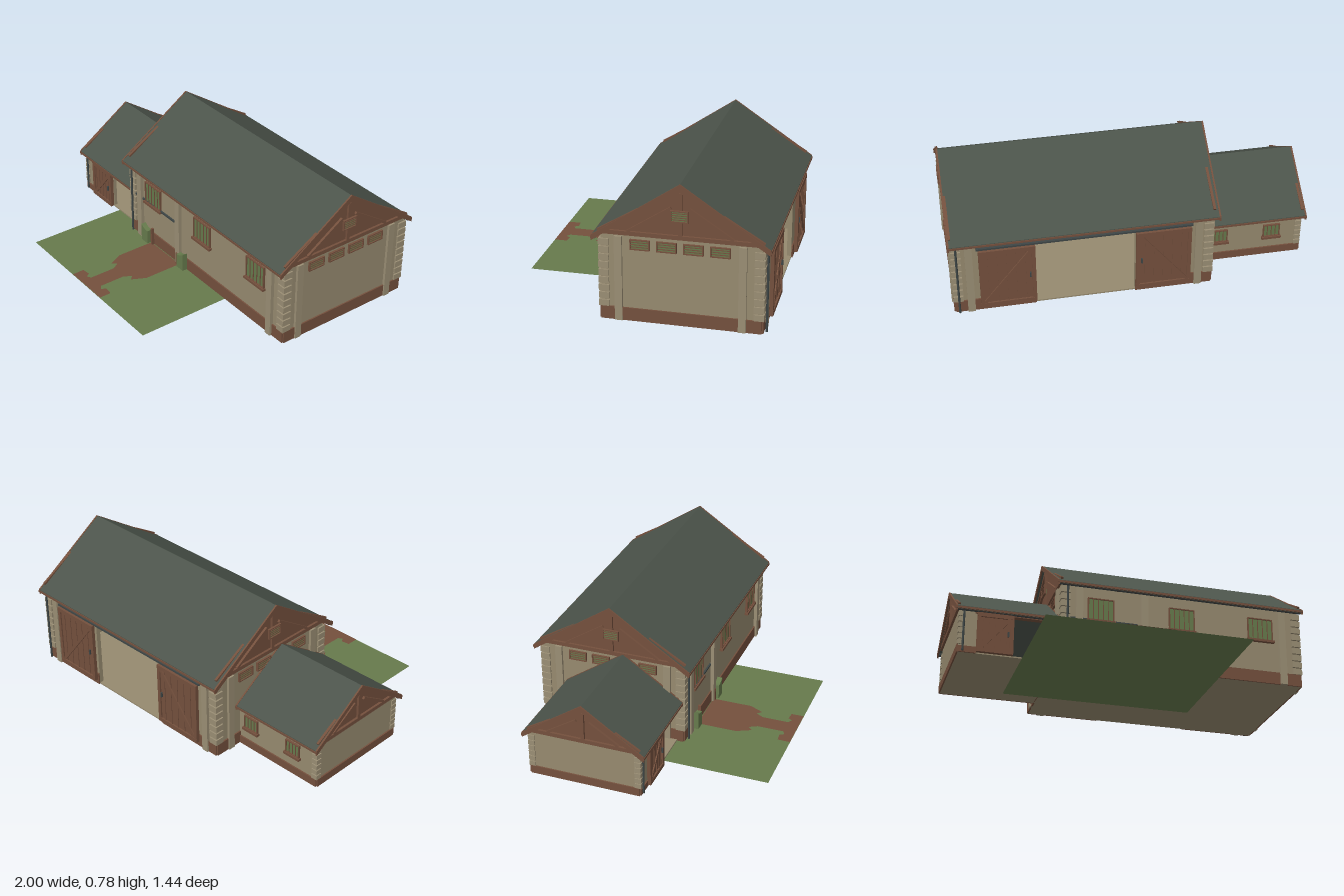
import * as THREE from 'three';

const mat = (name, color, side = THREE.FrontSide) => {
  const m = new THREE.MeshStandardMaterial({ color, side });
  m.name = name;
  return m;
};

export function createModel() {
  const root = new THREE.Group();
  root.name = 'barn';
  const wall = mat('stone wall', 0x968a6f);
  const trim = mat('pale stone trim', 0x9a8e74);
  const wood = mat('brown wood', 0x74503d);
  const earth = mat('earth path', 0x74503d, THREE.DoubleSide);
  const green = mat('green paint', 0x667a4c);
  const grass = mat('grass', 0x667a4c, THREE.DoubleSide);
  const slate = mat('roof slate', 0x4c544b);
  const metal = mat('dark metal', 0x3e4646);

  const group = (name, parent = root) => {
    const g = new THREE.Group();
    g.name = name;
    parent.add(g);
    return g;
  };
  const add = (name, geo, m, parent = root) => {
    const o = new THREE.Mesh(geo, m);
    o.name = name;
    parent.add(o);
    return o;
  };
  // Box from its two limits on each axis
  const box = (name, m, x0, x1, y0, y1, z0, z1, parent) => {
    const o = add(name, new THREE.BoxGeometry(x1 - x0, y1 - y0, z1 - z0), m, parent);
    o.position.set((x0 + x1) / 2, (y0 + y1) / 2, (z0 + z1) / 2);
    return o;
  };
  // Beam in the local xy plane between two points
  const beam = (name, m, x0, y0, x1, y1, w, z, d, parent) => {
    const o = add(name, new THREE.BoxGeometry(Math.hypot(x1 - x0, y1 - y0), w, d), m, parent);
    o.position.set((x0 + x1) / 2, (y0 + y1) / 2, z);
    o.rotation.z = Math.atan2(y1 - y0, x1 - x0);
    return o;
  };
  // Profile given as [z, y] points, extruded along x
  const profile = (name, m, pts, x0, x1, parent) => {
    const s = new THREE.Shape(pts.map(p => new THREE.Vector2(p[0], p[1])));
    const o = add(name, new THREE.ExtrudeGeometry(s, { depth: x1 - x0, bevelEnabled: false }), m, parent);
    o.rotation.y = -Math.PI / 2;
    o.position.x = x1;
    return o;
  };

  // Framed opening facing local +z, with vertical bars or horizontal slats
  const opening = (name, x, y, z, ry, w, h, bars, slats, sill) => {
    const g = group(name);
    g.position.set(x, y, z);
    g.rotation.y = ry;
    box('panel', green, -w / 2, w / 2, -h / 2, h / 2, -0.002, 0.005, g);
    const f = 0.006;
    for (const s of [-1, 1]) {
      box('frameSide', wood, s * w / 2 - f / 2, s * w / 2 + f / 2, -h / 2, h / 2, 0, 0.012, g);
      box('frameRail', wood, -w / 2 - f / 2, w / 2 + f / 2, s * h / 2 - f / 2, s * h / 2 + f / 2, 0, 0.012, g);
    }
    for (let i = 1; i <= bars; i++) {
      const bx = -w / 2 + w * i / (bars + 1);
      box('bar', wood, bx - 0.002, bx + 0.002, -h / 2, h / 2, 0, 0.009, g);
    }
    for (let i = 1; i <= slats; i++) {
      const by = -h / 2 + h * i / (slats + 1);
      box('slat', wood, -w / 2, w / 2, by - 0.002, by + 0.002, 0, 0.009, g);
    }
    if (sill) box('sill', wood, -w / 2 - 0.01, w / 2 + 0.01, -h / 2 - 0.014, -h / 2, 0, 0.02, g);
  };

  // Plank door facing local +z, with rails and a diagonal brace
  const door = (name, x, z, ry, w, y0, y1, flip) => {
    const g = group(name);
    g.position.set(x, 0, z);
    g.rotation.y = ry;
    box('planks', wood, -w / 2, w / 2, y0, y1, 0, 0.012, g);
    for (let i = 1; i < 6; i++) {
      const px = -w / 2 + w * i / 6;
      box('batten', wood, px - 0.003, px + 0.003, y0, y1, 0.01, 0.016, g);
    }
    for (const y of [y0 + 0.012, y1 - 0.012]) box('rail', wood, -w / 2, w / 2, y - 0.012, y + 0.012, 0.01, 0.021, g);
    for (const s of [-1, 1]) box('stile', wood, s * (w / 2 - 0.01) - 0.01, s * (w / 2 - 0.01) + 0.01, y0, y1, 0.01, 0.02, g);
    beam('brace', wood, -flip * (w / 2 - 0.02), y0 + 0.02, flip * (w / 2 - 0.02), y1 - 0.02, 0.018, 0.014, 0.01, g);
    const hx = flip * (w / 2 - 0.03), hy = (y0 + y1) / 2;
    box('handle', metal, hx - 0.004, hx + 0.004, hy - 0.015, hy + 0.015, 0.015, 0.025, g);
  };

  // Pitched roof with bargeboards, gutters and studs
  const roof = (name, x0, x1, zr, hw, ye, yr) => {
    const g = group(name);
    const chevron = (a, t) => [[zr - hw, ye + a], [zr - hw, ye + a - t], [zr, yr + a - t],
      [zr + hw, ye + a - t], [zr + hw, ye + a], [zr, yr + a]];
    profile('slates', slate, chevron(0, 0.018), x0 + 0.008, x1 - 0.008, g);
    profile('bargeboard', wood, chevron(0.002, 0.03), x0, x0 + 0.009, g);
    profile('bargeboard', wood, chevron(0.002, 0.03), x1 - 0.009, x1, g);
    for (const s of [-1, 1]) {
      const z = zr + s * (hw - 0.004);
      box('fascia', wood, x0, x1, ye - 0.016, ye - 0.004, z - 0.008, z + 0.008, g);
      const gutter = add('gutter', new THREE.CylinderGeometry(0.009, 0.009, x1 - x0 - 0.02, 8), metal, g);
      gutter.rotation.z = Math.PI / 2;
      gutter.position.set((x0 + x1) / 2, ye - 0.012, z - s * 0.012);
    }
  };

  // Gable wall and its timbers, facing local +z; local x runs across the span
  const gable = (name, x, zr, ry, hw, y0, y1) => {
    const g = group(name);
    g.position.set(x, 0, zr);
    g.rotation.y = ry;
    const s = new THREE.Shape([new THREE.Vector2(-hw, y0), new THREE.Vector2(hw, y0), new THREE.Vector2(0, y1)]);
    add('boards', new THREE.ExtrudeGeometry(s, { depth: 0.01, bevelEnabled: false }), wood, g).position.z = -0.01;
    truss(g, hw, y0, y1, 0.006, 0.014);
  };
  const truss = (g, hw, y0, y1, z, d) => {
    const h = y1 - y0;
    beam('tieBeam', wood, -hw, y0 + 0.01, hw, y0 + 0.01, 0.022, z, d, g);
    beam('kingPost', wood, 0, y0, 0, y1 - 0.03, 0.02, z, d, g);
    for (const s of [-1, 1]) {
      beam('rafter', wood, s * hw, y0 + 0.01, 0, y1 - 0.012, 0.025, z, d, g);
      beam('strut', wood, s * hw * 0.64, y0 + 0.02, s * hw * 0.11, y0 + h * 0.6, 0.014, z, d, g);
    }
  };

  // Stacked corner stones
  const quoins = (name, x, z, size, y0, n, step) => {
    const g = group(name);
    for (let i = 0; i < n; i++)
      box('cornerStone', trim, x - size / 2, x + size / 2, y0 + i * step, y0 + (i + 0.8) * step, z - size / 2, z + size / 2, g);
  };

  // Main hall walls, with a wide opening at the back
  const X0 = -0.42, X1 = 0.975, ZF = 0.16, ZB = -0.675, T = 0.025, H = 0.47;
  box('hallFloor', wall, X0, X1, 0.004, 0.012, ZB, ZF);
  box('frontWall', wall, X0, X1, 0.004, H, ZF - T, ZF);
  for (const x of [X0, X1 - T]) box('endWall', wall, x, x + T, 0.004, 0.49, ZB, ZF);
  box('backWall', wall, X0, 0, 0.004, H, ZB, ZB + T);
  box('backWall', wall, 0.54, X1, 0.004, H, ZB, ZB + T);
  box('backLintel', wood, 0, 0.54, 0.42, H, ZB, ZB + T);
  const P = 0.008;
  box('frontPlinth', wood, X0, X1, 0.004, 0.075, ZF, ZF + P);
  box('rightPlinth', wood, X0 - P, X0, 0.004, 0.075, ZB, ZF);
  box('leftPlinth', wood, X1, X1 + P, 0.004, 0.075, ZB, ZF);
  box('backPlinth', wood, X0, 0, 0.004, 0.075, ZB - P, ZB);
  box('backPlinth', wood, 0.54, X1, 0.004, 0.075, ZB - P, ZB);
  for (const x of [X0 + 0.018, X1 - 0.018]) for (const z of [ZF - 0.015, ZB + 0.015])
    quoins('hallQuoins', x, z, 0.054, 0.075, 9, 0.0425);

  // Pilasters
  for (const x of [-0.325, 0.05, 0.87]) box('frontPilaster', trim, x - 0.02, x + 0.02, 0.004, 0.46, ZF, ZF + 0.02);
  for (const x of [-0.345, 0.89]) box('backPilaster', trim, x - 0.02, x + 0.02, 0.004, 0.46, ZB - 0.018, ZB);
  for (const z of [0.067, -0.575]) {
    box('leftPilaster', trim, X1, X1 + 0.015, 0.004, 0.47, z - 0.02, z + 0.02);
    box('rightPilaster', trim, X0 - 0.015, X0, 0.004, 0.47, z - 0.02, z + 0.02);
  }

  // Hall roof, gables, vents and windows
  roof('hallRoof', -0.455, 0.995, -0.255, 0.46, 0.467, 0.775);
  for (const s of [-1, 1]) {
    const x = s > 0 ? X1 : X0, ry = s * Math.PI / 2;
    gable('hallGable', x, -0.255, ry, 0.425, 0.48, 0.757);
    opening('gableLouvre', x + s * 0.013, 0.607, -0.253, ry, 0.086, 0.056, 0, 4, false);
    for (let i = 0; i < 4; i++) opening('wallVent', x, 0.43, -0.046 - i * 0.138, ry, 0.098, 0.05, 0, 3, false);
  }
  for (const x of [-0.2, 0.27, 0.74]) opening('frontWindow', x, 0.33, ZF, 0, 0.145, 0.128, 4, 0, true);

  // Roof trusses inside the hall
  for (const x of [-0.1, 0.27, 0.64]) {
    const g = group('roofTruss');
    g.position.set(x, 0, -0.255);
    g.rotation.y = Math.PI / 2;
    truss(g, 0.42, 0.46, 0.745, 0, 0.022);
  }

  // Sliding doors at the back, with their rail
  door('backDoor', 0.69, ZB - 0.014, Math.PI, 0.3, 0.04, 0.41, 1);
  door('backDoor', -0.15, ZB - 0.014, Math.PI, 0.3, 0.04, 0.41, -1);
  box('doorRail', metal, -0.31, 0.85, 0.412, 0.422, ZB - 0.022, ZB);

  // Side wing, with a doorway at the front
  const WX = -0.975, WF = 0.125, WB = -0.5;
  box('wingFloor', wall, WX, X0, 0.004, 0.012, WB, WF);
  box('wingFrontWall', wall, WX, -0.68, 0.004, 0.26, WF - 0.02, WF);
  box('wingLintel', wood, -0.89, X0, 0.238, 0.25, WF - 0.02, WF + 0.012);
  box('wingBackWall', wall, WX, X0, 0.004, 0.26, WB, WB + 0.02);
  box('wingEndWall', wall, WX, WX + 0.02, 0.004, 0.28, WB, WF);
  box('wingBackPlinth', wood, WX, X0, 0.004, 0.05, WB - P, WB);
  box('wingEndPlinth', wood, WX - P, WX, 0.004, 0.05, WB, WF);
  box('wingFrontPlinth', wood, WX, -0.88, 0.004, 0.04, WF, WF + P);
  for (const z of [WF - 0.01, WB + 0.01]) quoins('wingQuoins', WX + 0.012, z, 0.036, 0.05, 6, 0.033);
  roof('wingRoof', -1, X0 - 0.002, -0.188, 0.345, 0.262, 0.495);
  gable('wingGable', WX, -0.188, -Math.PI / 2, 0.315, 0.268, 0.478);
  door('wingDoor', -0.78, WF + 0.003, 0, 0.2, 0.01, 0.24, 1);
  for (const x of [-0.81, -0.51]) opening('wingWindow', x, 0.165, WB, Math.PI, 0.09, 0.075, 3, 0, true);

  // Rainwater pipes
  for (const [x, z, y] of [[-0.953, WF + 0.012, 0.25], [-0.393, ZF + 0.022, 0.46], [0.955, ZB - 0.022, 0.46]]) {
    const pipe = add('downpipe', new THREE.CylinderGeometry(0.006, 0.006, y - 0.01, 8), metal);
    pipe.position.set(x, y / 2 + 0.005, z);
  }
  box('wallPipe', metal, -0.4, 0.01, 0.259, 0.269, ZF, ZF + 0.01);

  // Low curved side panels and posts by the front path
  for (const s of [-1, 1]) {
    const shape = new THREE.Shape();
    shape.moveTo(0.145, 0.005);
    shape.lineTo(0.205, 0.005);
    shape.lineTo(0.205, 0.112);
    shape.quadraticCurveTo(0.18, 0.09, 0.145, 0.09);
    const pts = shape.getPoints(6).map(p => new THREE.Vector2(s * p.x, p.y));
    const geo = new THREE.ExtrudeGeometry(new THREE.Shape(pts), { depth: 0.03, bevelEnabled: false });
    add('curvedSidePanel', geo, green).position.set(-0.075, 0, ZF + 0.008);
    box('pathPost', wood, -0.081 + s * 0.125, -0.069 + s * 0.125, 0.004, s < 0 ? 0.112 : 0.08, ZF + 0.008, ZF + 0.025);
  }

  // Lawn and path
  const lawn = add('lawn', new THREE.PlaneGeometry(1.11, 1.11), grass);
  lawn.rotation.x = -Math.PI / 2;
  lawn.position.set(-0.075, 0, 0.162);
  const half = [[0.14, 0.17], [0.14, 0.4], [0.1, 0.48], [0.075, 0.455], [0.05, 0.5], [0.05, 0.65], [0.075, 0.665], [0.09, 0.64], [0.14, 0.645], [0.14, 0.716]];
  const outline = [...half, ...half.map(p => [-p[0], p[1]]).reverse()];
  const path = add('path', new THREE.ShapeGeometry(new THREE.Shape(outline.map(p => new THREE.Vector2(p[0], -p[1])))), earth);
  path.rotation.x = -Math.PI / 2;
  path.position.set(-0.08, 0.002, 0);

  return root;
}
